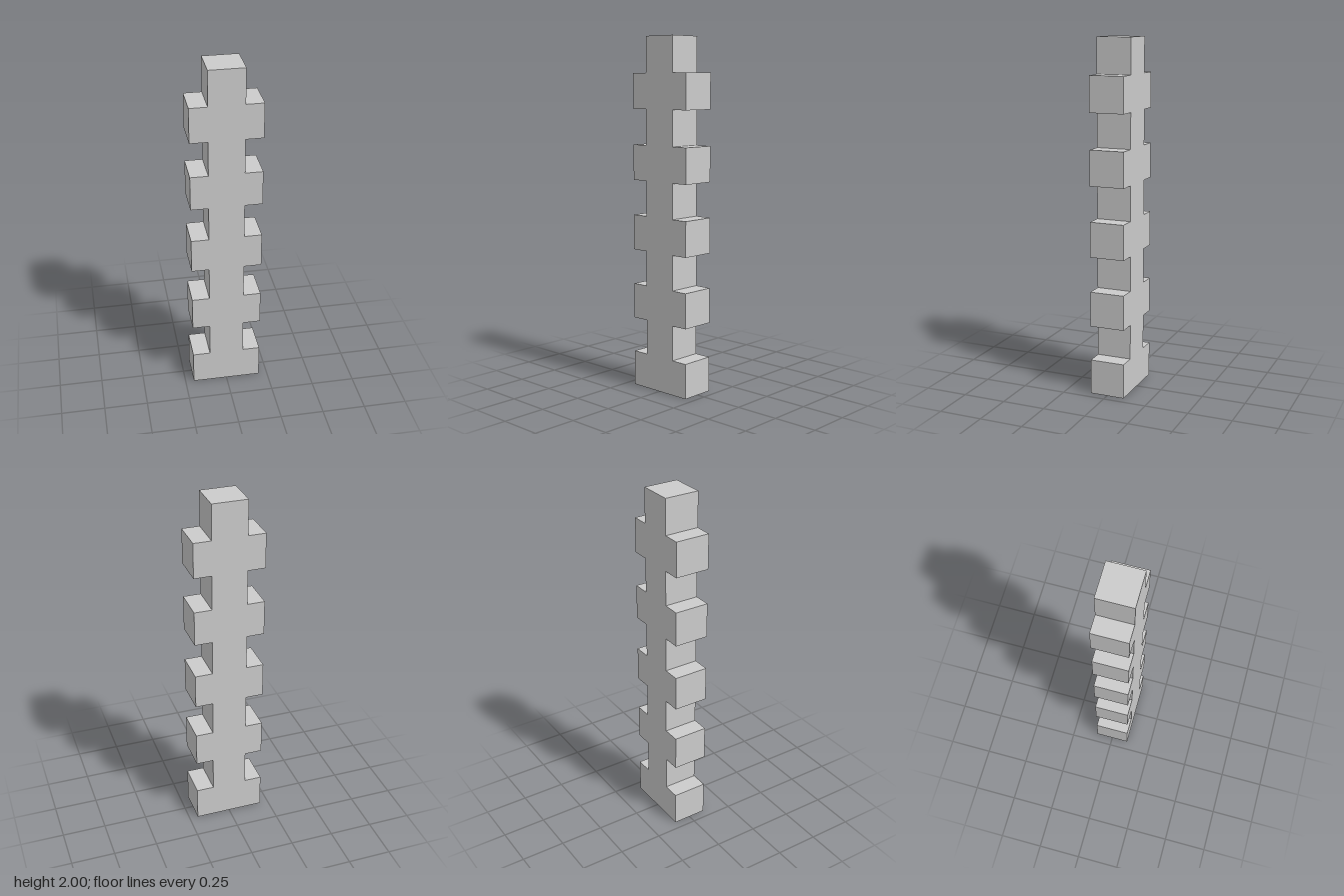
import * as THREE from 'three';

const STEP = 0.2;       // height of each tooth and each gap
const TEETH = 5;
const CORE = 0.1;       // half width of the shaft
const REACH = 0.2;      // half width across the teeth
const DEPTH = 0.2;

export function createModel() {
  const group = new THREE.Group();
  group.name = 'toothedPost';

  // Right-hand edge, bottom to top: wide tooth, then narrow shaft
  const edge = [];
  for (let i = 0; i < TEETH; i++) {
    const y = i * 2 * STEP;
    edge.push([REACH, y], [REACH, y + STEP], [CORE, y + STEP], [CORE, y + 2 * STEP]);
  }

  // Mirror the edge to close the outline
  const mirrored = edge.map(([x, y]) => [-x, y]).reverse();
  const outline = [...edge, ...mirrored].map(([x, y]) => new THREE.Vector2(x, y));

  // One solid body, centred in depth
  const geometry = new THREE.ExtrudeGeometry(new THREE.Shape(outline), {
    depth: DEPTH,
    bevelEnabled: false,
  });
  geometry.translate(0, 0, -DEPTH / 2);

  const post = new THREE.Mesh(
    geometry,
    new THREE.MeshStandardMaterial({ color: 0xcccccc, flatShading: true }),
  );
  post.name = 'post';
  group.add(post);
  return group;
}
